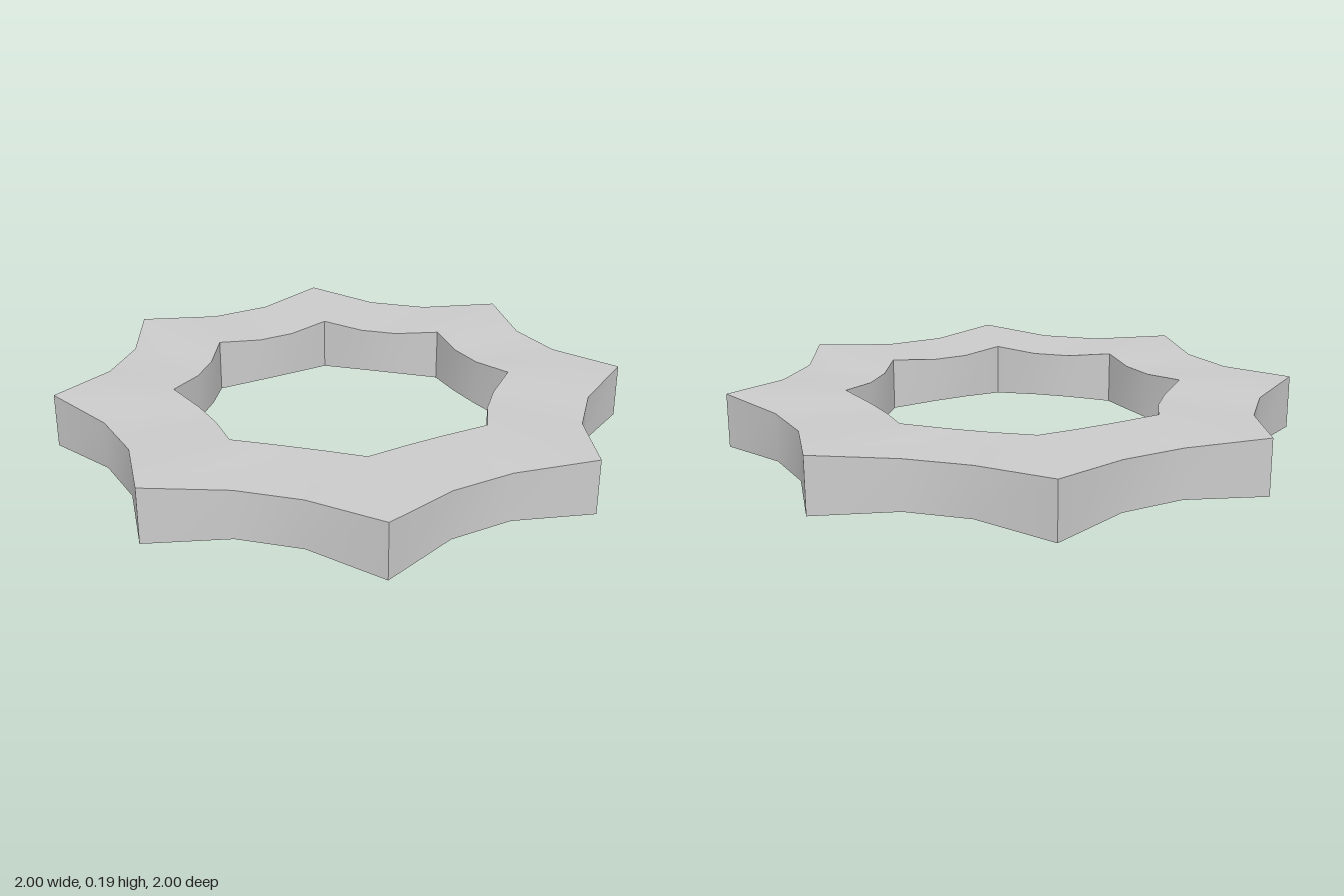
import * as THREE from 'three';
import { toCreasedNormals } from 'three/addons/utils/BufferGeometryUtils.js';

const POINTS = 8; // tips of the star
const STEPS = 3; // straight segments from tip to tip
const MID = 0.095; // mid height of the ring

// Rectangular section of the ring: taller and wider at a tip than in a valley
function section(i) {
  const tip = i % STEPS === 0;
  const outer = tip ? 1 : 0.849;
  const inner = tip ? 0.592 : 0.525;
  const half = tip ? 0.095 : 0.083;
  const a = (i / (POINTS * STEPS)) * Math.PI * 2;
  return [[outer, -half], [outer, half], [inner, half], [inner, -half]].map(
    ([r, y]) => [r * Math.sin(a), MID + y, r * Math.cos(a)]
  );
}

// Joins the sections into a closed loop
function starRingGeometry() {
  const count = POINTS * STEPS;
  const positions = [];
  const index = [];
  for (let i = 0; i < count; i++) {
    positions.push(...section(i).flat());
    const a = i * 4;
    const b = ((i + 1) % count) * 4;
    for (let j = 0; j < 4; j++) {
      const k = (j + 1) % 4;
      index.push(a + j, b + j, b + k, a + j, b + k, a + k);
    }
  }
  const geometry = new THREE.BufferGeometry();
  geometry.setAttribute('position', new THREE.Float32BufferAttribute(positions, 3));
  geometry.setIndex(index);
  // Soft along each scallop, sharp at the tips and rims
  return toCreasedNormals(geometry.toNonIndexed(), THREE.MathUtils.degToRad(35));
}

export function createModel() {
  const group = new THREE.Group();
  group.name = 'starRingModel';
  const ring = new THREE.Mesh(
    starRingGeometry(),
    new THREE.MeshStandardMaterial({ color: 0xcccccc })
  );
  ring.name = 'starRing';
  group.add(ring);
  return group;
}
